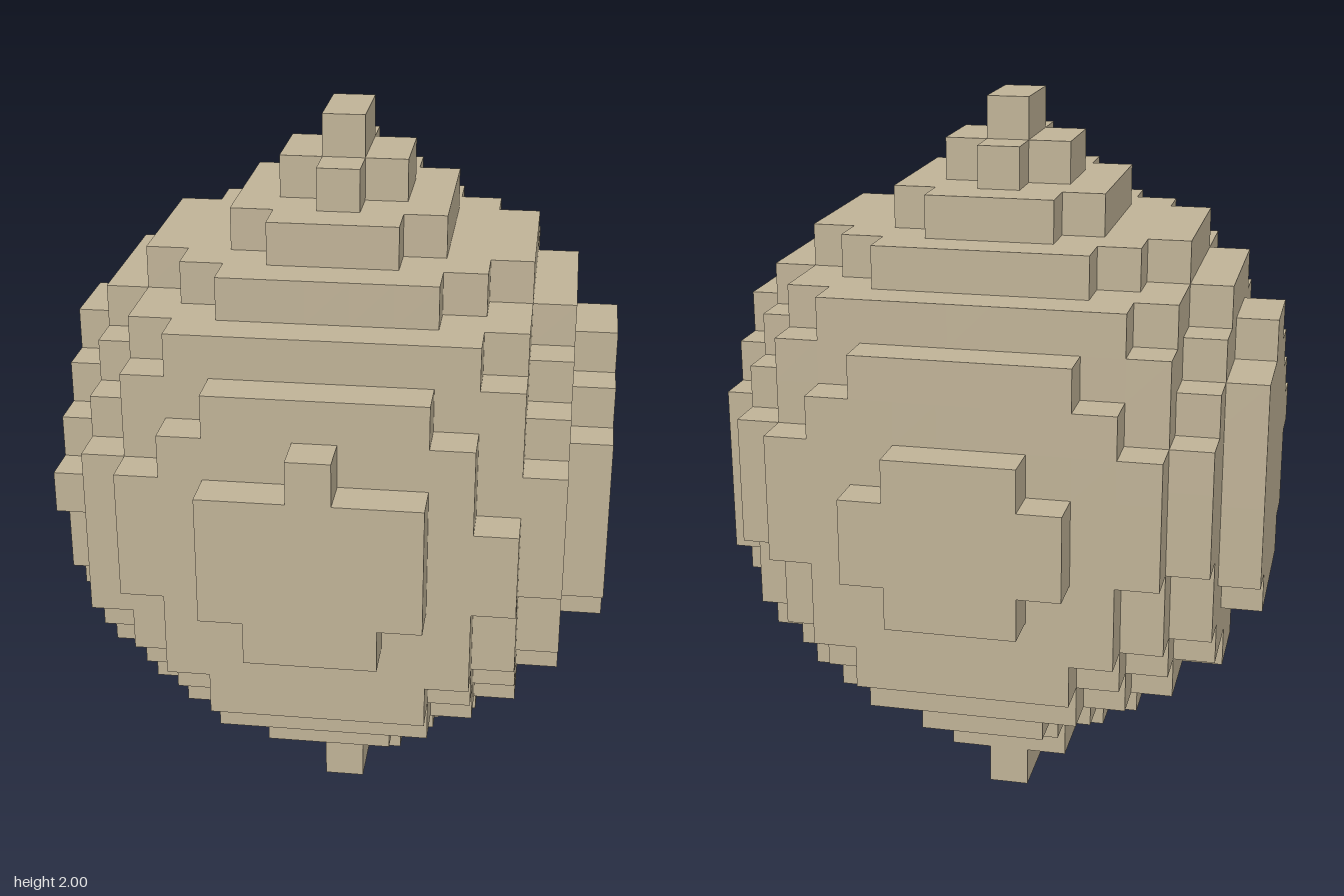
import * as THREE from 'three';

const U = 1 / 9; // edge of one block

// One row per layer from the ground up: half depth in blocks at |x| = 0, 1, 2 ...
const LAYERS = [
  [1],
  [1, 1],
  [2, 2, 1],
  [4, 4, 3, 2],
  [5, 5, 5, 4, 3, 1],
  [6, 6, 6, 5, 4, 3],
  [6, 6, 6, 6, 5, 4, 2],
  [7, 7, 6, 6, 5, 4, 3],
  [7, 7, 7, 6, 6, 5, 3],
  [7, 7, 7, 6, 6, 5, 3],
  [7, 7, 7, 6, 6, 5, 3],
  [6, 6, 6, 6, 5, 4, 2],
  [6, 6, 6, 5, 5, 3, 1],
  [5, 5, 5, 5, 4, 2],
  [4, 4, 4, 3, 2],
  [3, 3, 2],
  [2, 1],
  [1],
];

// Single blocks that break the symmetry: x, y, z
const ADDED = [[0, 11, 6], [-6, 9, 3], [-6, 11, -3], [-5, 7, 4]];
const REMOVED = [[4, 10, 5], [2, 10, -7], [-2, 10, -7]];

function fillBlocks() {
  const blocks = new Map();
  const put = (x, y, z) => blocks.set(`${x},${y},${z}`, [x, y, z]);
  LAYERS.forEach((depths, y) => depths.forEach((d, ax) => {
    for (let z = -d; z < d; z++) {
      put(ax, y, z);
      put(-ax, y, z);
    }
  }));
  ADDED.forEach((b) => put(...b));
  REMOVED.forEach((b) => blocks.delete(b.join(',')));
  return blocks;
}

// Skin of the block ball: only faces with no neighbour are made
function blockSkin(blocks) {
  const positions = [], normals = [], index = [];
  for (const [x, y, z] of blocks.values()) {
    const centre = new THREE.Vector3(x, y + 0.5, z + 0.5);
    for (let axis = 0; axis < 3; axis++) {
      for (const s of [-1, 1]) {
        const next = [x, y, z];
        next[axis] += s;
        if (blocks.has(next.join(','))) continue;
        const n = new THREE.Vector3().setComponent(axis, s);
        const a = new THREE.Vector3().setComponent((axis + 1) % 3, 0.5);
        const b = new THREE.Vector3().crossVectors(n, a);
        const start = positions.length / 3;
        for (const [i, j] of [[-1, -1], [1, -1], [1, 1], [-1, 1]]) {
          const p = centre.clone().addScaledVector(n, 0.5)
            .addScaledVector(a, i).addScaledVector(b, j).multiplyScalar(U);
          positions.push(p.x, p.y, p.z);
          normals.push(n.x, n.y, n.z);
        }
        index.push(start, start + 1, start + 2, start, start + 2, start + 3);
      }
    }
  }
  const geometry = new THREE.BufferGeometry();
  geometry.setAttribute('position', new THREE.Float32BufferAttribute(positions, 3));
  geometry.setAttribute('normal', new THREE.Float32BufferAttribute(normals, 3));
  geometry.setIndex(index);
  return geometry;
}

export function createModel() {
  const sand = new THREE.MeshStandardMaterial({ color: 0xbfb296 });
  sand.name = 'sand';
  const ball = new THREE.Mesh(blockSkin(fillBlocks()), sand);
  ball.name = 'blockBall';
  const group = new THREE.Group();
  group.name = 'steppedBall';
  group.add(ball);
  return group;
}
